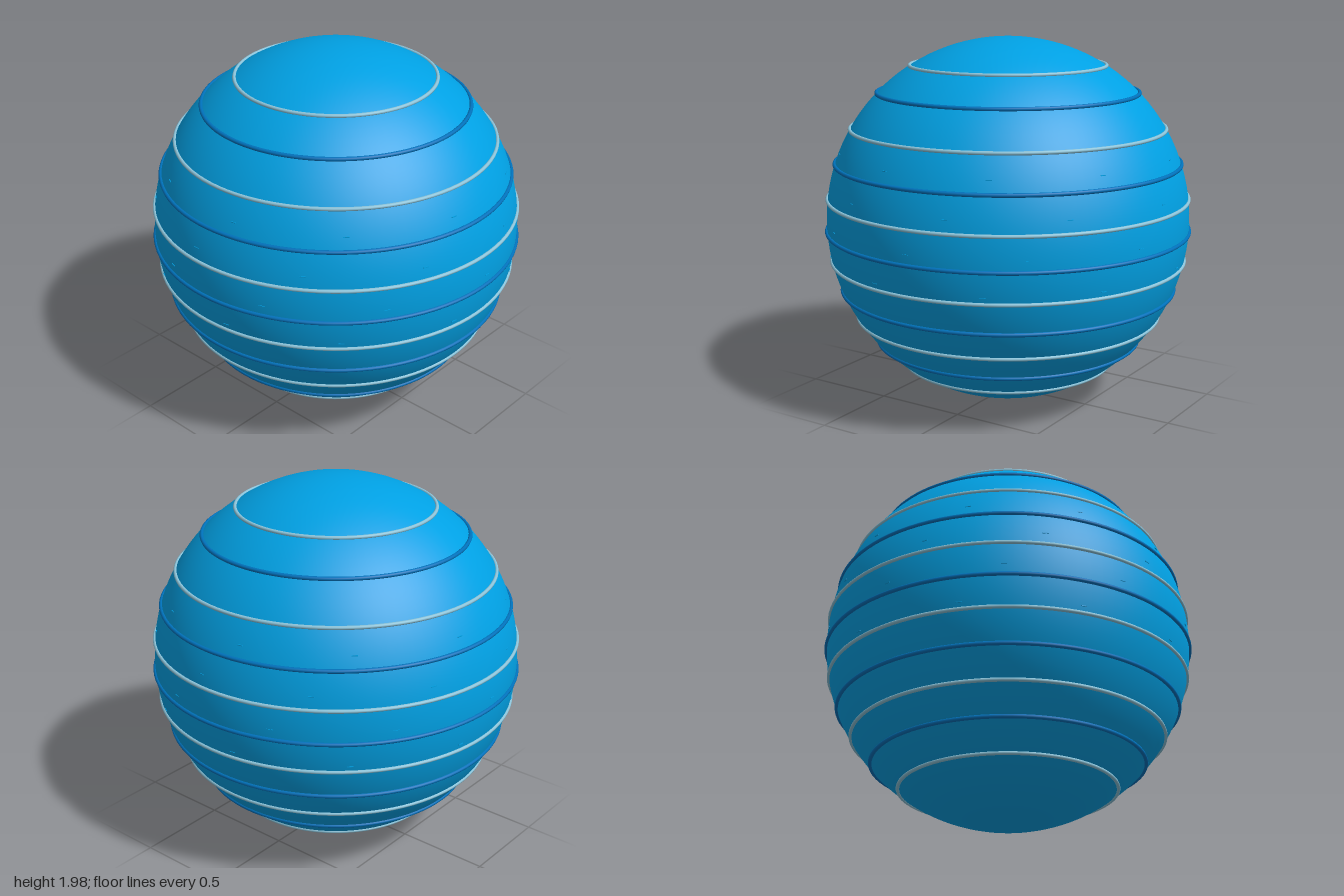
import * as THREE from 'three';

const R = 0.988, CY = 0.993;

function mat(name, color) {
  const m = new THREE.MeshStandardMaterial({ color });
  m.name = name;
  return m;
}

export function createModel() {
  const model = new THREE.Group();
  model.name = 'ringedBall';
  const blue = mat('bright blue', 0x00a0e3);
  const pale = mat('pale blue', 0x8cc4da);
  const deep = mat('deep blue', 0x0072bc);

  // radius of the ball at a given height
  const radiusAt = (y) => Math.sqrt(R * R - (y - CY) ** 2);

  // main ball
  const ball = new THREE.Mesh(new THREE.SphereGeometry(R, 96, 64), blue);
  ball.name = 'ball';
  ball.position.y = CY;
  model.add(ball);

  // raised rings, alternating pale and deep blue from top to bottom
  const heights = [1.83, 1.687, 1.497, 1.311, 1.121, 0.945, 0.78, 0.614, 0.461, 0.32, 0.189];
  heights.forEach((y, i) => {
    const isPale = i % 2 === 0;
    const tube = isPale ? 0.01 : 0.011;
    const geo = new THREE.TorusGeometry(radiusAt(y) + 0.002, tube, 10, 96);
    const ring = new THREE.Mesh(geo.rotateX(Math.PI / 2), isPale ? pale : deep);
    ring.name = isPale ? 'paleRing' : 'deepRing';
    ring.position.y = y;
    model.add(ring);
  });

  // rows of tiny raised ticks, each row turned a little from the next
  const ticks = new THREE.Group();
  ticks.name = 'surfaceTicks';
  const tickGeo = new THREE.BoxGeometry(0.03, 0.004, 0.006);
  for (const [y, offset] of [[1.378, 9], [1.188, -3.5], [1.0, 20.5], [0.815, 7.5]]) {
    for (let i = 0; i < 10; i++) {
      const a = THREE.MathUtils.degToRad(offset + i * 36);
      const r = radiusAt(y);
      const tick = new THREE.Mesh(tickGeo, blue);
      tick.name = 'tick';
      tick.position.set(Math.sin(a) * r, y, Math.cos(a) * r);
      tick.rotation.y = a;
      ticks.add(tick);
    }
  }
  model.add(ticks);
  return model;
}
